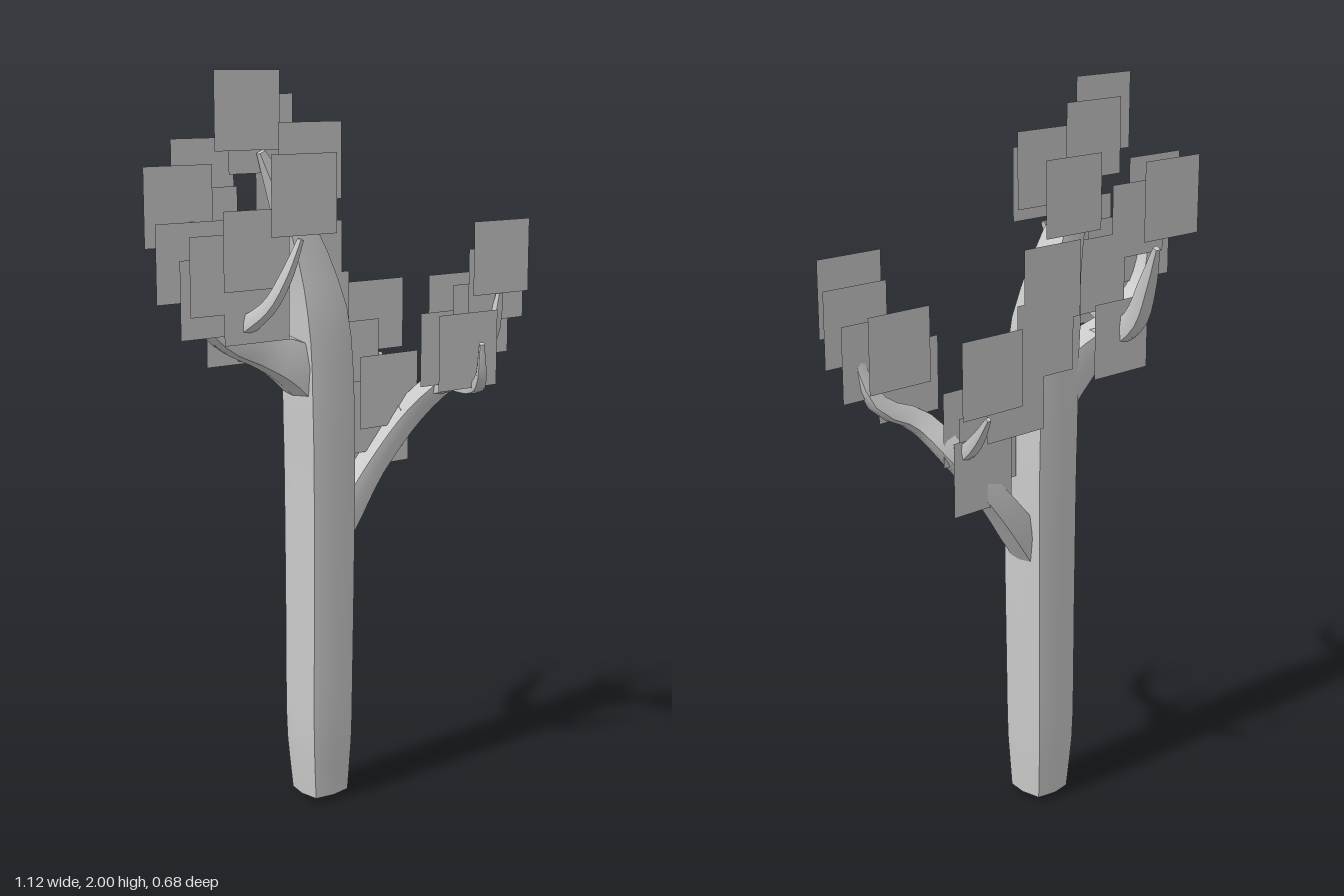
import * as THREE from 'three';
import { toCreasedNormals } from 'three/addons/utils/BufferGeometryUtils.js';

const SIDES = 8;

// Tapered limb of softened square section through [x, y, z, radius], closed at both ends
function limb(name, points, rings, material) {
  const curve = new THREE.CatmullRomCurve3(points.map(([x, y, z]) => new THREE.Vector3(x, y, z)));
  const { tangents, normals, binormals } = curve.computeFrenetFrames(rings);
  const last = points.length - 1;
  const pos = [], index = [];
  for (let i = 0; i <= rings; i++) {
    const c = curve.getPointAt(i / rings);
    const k = curve.getUtoTmapping(i / rings) * last;
    const k0 = Math.min(Math.floor(k), last - 1);
    const radius = THREE.MathUtils.lerp(points[k0][3], points[k0 + 1][3], k - k0);
    for (let j = 0; j < SIDES; j++) {
      const a = (j / SIDES) * Math.PI * 2;
      const r = j % 2 ? radius * 1.21 : radius; // corners stand out from the flats
      const p = c.clone()
        .addScaledVector(normals[i], r * Math.cos(a))
        .addScaledVector(binormals[i], r * Math.sin(a));
      pos.push(p.x, p.y, p.z);
    }
  }
  // Slightly pointed end caps
  const start = pos.length / 3, end = start + 1, top = rings * SIDES;
  const s = curve.getPoint(0).addScaledVector(tangents[0], -points[0][3] * 0.25);
  const e = curve.getPoint(1).addScaledVector(tangents[rings], points[last][3] * 0.25);
  pos.push(s.x, s.y, s.z, e.x, e.y, e.z);
  for (let j = 0; j < SIDES; j++) {
    const n = (j + 1) % SIDES;
    for (let i = 0; i < rings; i++) {
      const a = i * SIDES + j, b = i * SIDES + n;
      index.push(a, b, a + SIDES, b, b + SIDES, a + SIDES);
    }
    index.push(start, n, j, end, top + j, top + n);
  }
  const geo = new THREE.BufferGeometry();
  geo.setAttribute('position', new THREE.Float32BufferAttribute(pos, 3));
  geo.setIndex(index);
  const mesh = new THREE.Mesh(toCreasedNormals(geo, 0.9), material);
  mesh.name = name;
  return mesh;
}

export function createModel() {
  const tree = new THREE.Group();
  tree.name = 'tree';
  const bark = new THREE.MeshStandardMaterial({ color: 0xcccccc });
  const leaf = new THREE.MeshStandardMaterial({ color: 0xcccccc, side: THREE.DoubleSide });

  // Trunk, leaning to one side at its pointed top
  tree.add(limb('trunk', [
    [-0.03, 0.02, -0.055, 0.064], [-0.033, 0.2, -0.055, 0.076], [-0.03, 0.7, -0.055, 0.079],
    [-0.032, 1.1, -0.055, 0.081], [-0.045, 1.36, -0.057, 0.077], [-0.1, 1.58, -0.06, 0.048],
    [-0.21, 1.795, -0.06, 0.01],
  ], 24, bark));

  // Main branches and the twigs that fork from them
  tree.add(limb('leftBranch', [
    [0.0, 0.74, -0.055, 0.045], [0.055, 0.82, -0.055, 0.045], [0.14, 0.93, -0.052, 0.037],
    [0.25, 1.07, -0.02, 0.034], [0.315, 1.16, 0.045, 0.03], [0.41, 1.21, 0.075, 0.024],
    [0.45, 1.3, 0.1, 0.017], [0.46, 1.4, 0.115, 0.008],
  ], 18, bark));
  tree.add(limb('leftFrontTwig', [
    [0.3, 1.15, 0.04, 0.026], [0.3, 1.165, 0.12, 0.02], [0.28, 1.17, 0.21, 0.017],
    [0.235, 1.21, 0.295, 0.015], [0.21, 1.31, 0.325, 0.007],
  ], 12, bark));
  tree.add(limb('leftBackTwig', [
    [0.24, 1.06, -0.02, 0.028], [0.255, 1.1, -0.09, 0.02], [0.27, 1.15, -0.145, 0.014],
    [0.29, 1.21, -0.2, 0.006],
  ], 10, bark));
  tree.add(limb('rightBranch', [
    [-0.04, 1.18, -0.06, 0.07], [-0.12, 1.245, -0.062, 0.065], [-0.21, 1.285, -0.064, 0.05],
    [-0.32, 1.33, -0.06, 0.04], [-0.4, 1.41, -0.058, 0.028], [-0.435, 1.52, -0.056, 0.018],
    [-0.425, 1.63, -0.055, 0.008],
  ], 18, bark));
  tree.add(limb('rightFrontTwig', [
    [-0.31, 1.34, -0.05, 0.032], [-0.3, 1.375, 0.02, 0.022], [-0.28, 1.42, 0.075, 0.017],
    [-0.255, 1.5, 0.115, 0.014], [-0.23, 1.59, 0.14, 0.007],
  ], 12, bark));
  tree.add(limb('rightBackTwig', [
    [-0.23, 1.29, -0.07, 0.045], [-0.23, 1.325, -0.14, 0.035], [-0.225, 1.38, -0.21, 0.028],
    [-0.205, 1.49, -0.27, 0.02], [-0.18, 1.59, -0.32, 0.008],
  ], 12, bark));

  // Square leaf cards, all facing front, by centre [x, y, z]
  const foliage = new THREE.Group();
  foliage.name = 'foliage';
  const card = new THREE.PlaneGeometry(0.2, 0.2);
  const crown = [
    [-0.25, 1.9, -0.06], [-0.195, 1.84, -0.08], [-0.09, 1.77, -0.01], [-0.085, 1.71, -0.12],
    [-0.225, 1.7, 0.15], [-0.2, 1.72, -0.35],
  ];
  const rightCluster = [
    [-0.465, 1.67, -0.05], [-0.44, 1.53, -0.04], [-0.39, 1.44, -0.01], [-0.38, 1.5, 0.02],
    [-0.3, 1.56, 0.05], [-0.37, 1.61, -0.08], [-0.28, 1.42, 0.02], [-0.205, 1.33, -0.18],
    [-0.22, 1.48, -0.08],
  ];
  const leftCluster = [
    [0.01, 1.5, -0.14], [0.035, 1.36, -0.14], [0.46, 1.5, 0.12], [0.46, 1.425, 0.1],
    [0.415, 1.33, 0.09], [0.37, 1.355, 0.04], [0.31, 1.26, 0.08], [0.23, 1.28, 0.25],
    [0.275, 1.32, -0.2], [0.2, 1.02, -0.08], [0.19, 1.14, -0.03], [0.155, 1.07, -0.05],
    [0.14, 1.22, -0.14],
  ];
  for (const [x, y, z] of [...crown, ...rightCluster, ...leftCluster]) {
    const m = new THREE.Mesh(card, leaf);
    m.name = 'leafCard';
    m.position.set(x, y, z);
    foliage.add(m);
  }
  tree.add(foliage);
  return tree;
}
